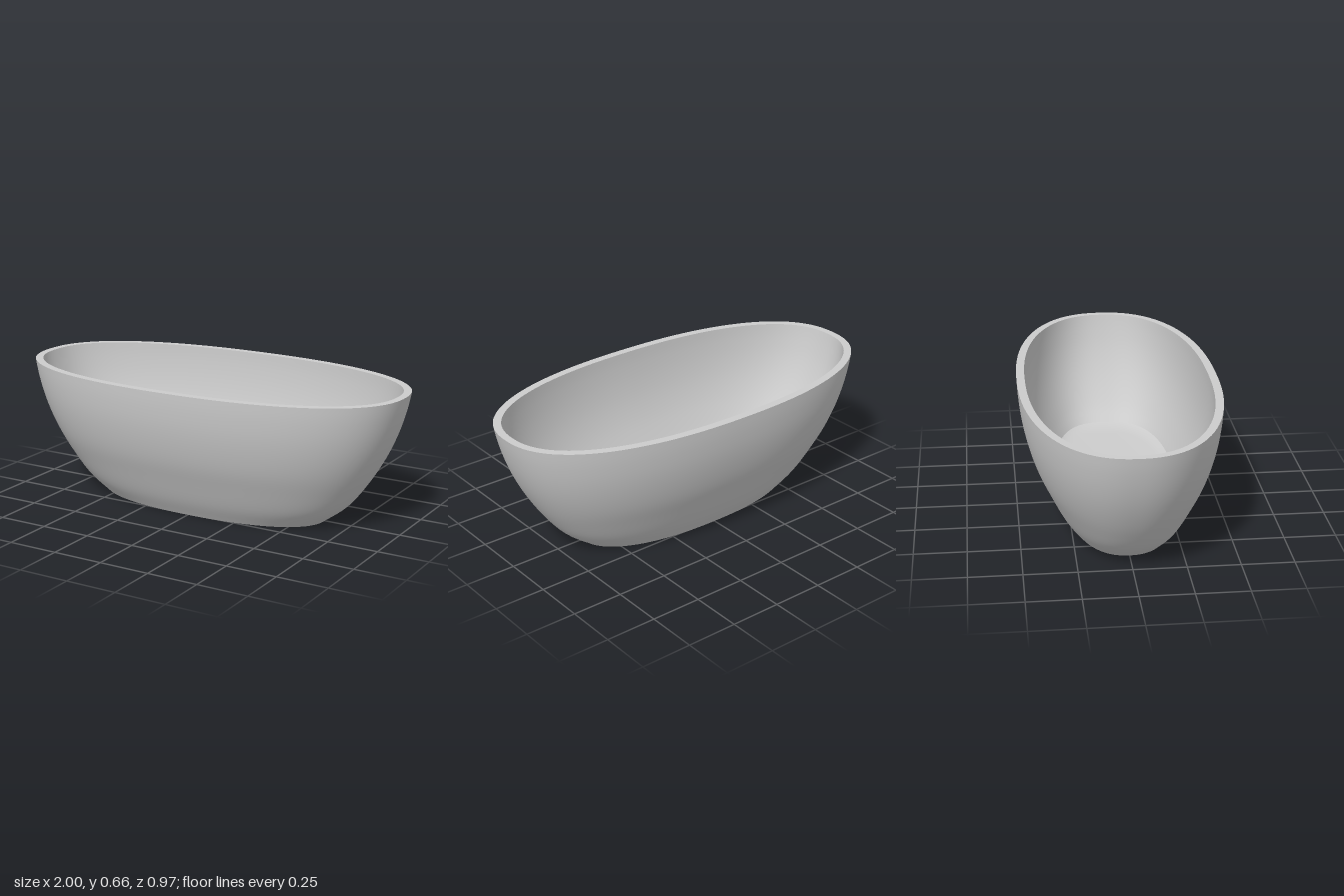
import * as THREE from 'three';

const SEGMENTS = 128;

// Skin through superellipse loops; each loop is [half length, y, half width, exponent].
function skin(loops) {
  const pos = [], index = [];
  loops.forEach(([a, y, b, n], row) => {
    for (let i = 0; i < SEGMENTS; i++) {
      const t = (i / SEGMENTS) * Math.PI * 2;
      const c = Math.cos(t), s = Math.sin(t);
      const r = Math.pow(Math.abs(c) ** n + Math.abs(s) ** n, -1 / n);
      pos.push(a * c * r, y, b * s * r);
      if (row === 0) continue;
      const j = (i + 1) % SEGMENTS;
      const lo = (row - 1) * SEGMENTS, hi = row * SEGMENTS;
      index.push(lo + i, hi + i, lo + j, lo + j, hi + i, hi + j);
    }
  });
  const geo = new THREE.BufferGeometry();
  geo.setAttribute('position', new THREE.Float32BufferAttribute(pos, 3));
  geo.setIndex(index);
  geo.computeVertexNormals();
  return geo;
}

// Smooth the loop sizes along a spline, blending the exponent from n0 to n1.
function smoothLoops(points, n0, n1, steps) {
  const curve = new THREE.CatmullRomCurve3(points.map((p) => new THREE.Vector3(...p)), false, 'centripetal');
  return curve.getSpacedPoints(steps).map((p, i) => [p.x, p.y, p.z, n0 + (n1 - n0) * (i / steps)]);
}

export function createModel() {
  const group = new THREE.Group();
  const enamel = new THREE.MeshStandardMaterial({ color: 0xcccccc });
  enamel.name = 'greyEnamel';

  const add = (name, geo) => {
    const mesh = new THREE.Mesh(geo, enamel);
    mesh.name = name;
    group.add(mesh);
    return mesh;
  };

  // Curved outside of the tub, from base to rim
  add('outerWall', skin(smoothLoops([
    [0.61, 0, 0.262], [0.72, 0.085, 0.316], [0.81, 0.2, 0.372], [0.872, 0.3, 0.417],
    [0.922, 0.4, 0.449], [0.96, 0.5, 0.471], [0.988, 0.6, 0.483], [1, 0.66, 0.486],
  ], 2.3, 2.3, 28)));

  // Flat underside
  add('base', skin([[0, 0, 0, 2.3], [0.61, 0, 0.262, 2.3]]));

  // Flat rim
  add('rim', skin([[1, 0.66, 0.486, 2.3], [0.963, 0.66, 0.446, 2.3]]));

  // Inside wall, from rim down to the floor edge
  add('innerWall', skin(smoothLoops([
    [0.963, 0.66, 0.446], [0.95, 0.6, 0.443], [0.922, 0.5, 0.431], [0.883, 0.4, 0.41],
    [0.832, 0.3, 0.377], [0.768, 0.2, 0.331], [0.71, 0.13, 0.293],
  ], 2.3, 2.7, 24)));

  // Shallow floor sloping slightly to the drain
  add('floor', skin([
    [0.71, 0.13, 0.293, 2.7], [0.67, 0.118, 0.272, 2.7], [0.6, 0.112, 0.24, 2.6],
    [0.3, 0.106, 0.12, 2.3], [0, 0.102, 0, 2],
  ]));

  // Round drain plug
  const drain = add('drainPlug', new THREE.SphereGeometry(0.05, 40, 24));
  drain.position.y = 0.105;

  return group;
}
